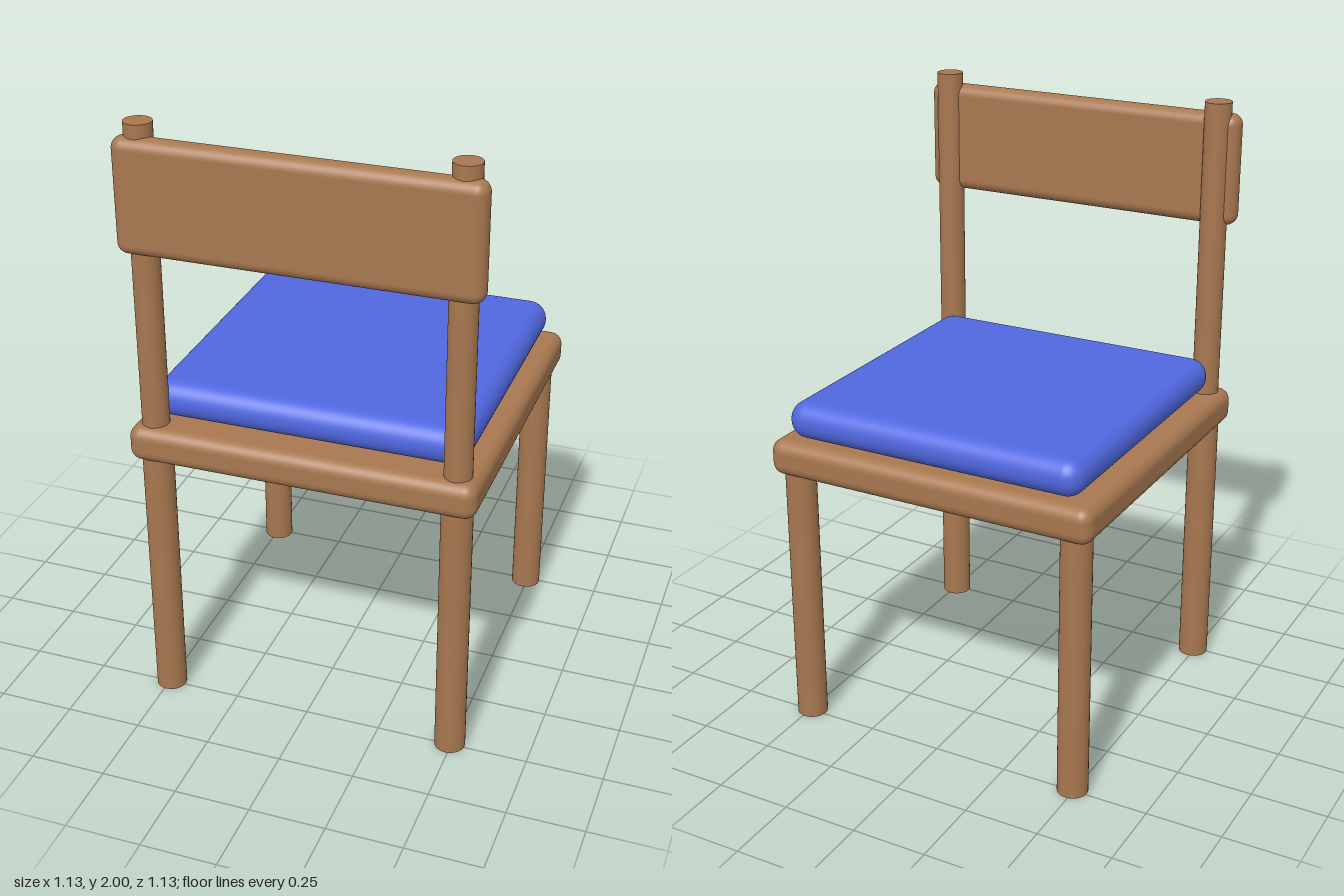
import * as THREE from 'three';
import { RoundedBoxGeometry } from 'three/addons/geometries/RoundedBoxGeometry.js';

export function createModel() {
  const chair = new THREE.Group();
  chair.name = 'chair';
  const wood = new THREE.MeshStandardMaterial({ color: 0xa87850 });
  const fabric = new THREE.MeshStandardMaterial({ color: 0x5068e0 });

  const add = (name, geometry, material, x, y, z) => {
    const mesh = new THREE.Mesh(geometry, material);
    mesh.name = name;
    mesh.position.set(x, y, z);
    chair.add(mesh);
  };
  // Rounded slab given by its size, edge radius and centre
  const slab = (name, material, [w, h, d], radius, [x, y, z]) =>
    add(name, new RoundedBoxGeometry(w, h, d, 6, radius), material, x, y, z);
  // Upright round bar between two heights
  const bar = (name, radius, y0, y1, x, z) =>
    add(name, new THREE.CylinderGeometry(radius, radius, y1 - y0, 32), wood, x, (y0 + y1) / 2, z);

  // Seat board and cushion
  slab('seat', wood, [1.13, 0.12, 1.13], 0.04, [0, 0.952, 0]);
  slab('cushion', fabric, [1.03, 0.124, 1.024], 0.06, [0, 1.077, -0.027]);

  // Legs, and posts that carry the backrest
  for (const [side, x] of [['left', 0.493], ['right', -0.493]]) {
    bar(side + 'FrontLeg', 0.05, 0, 0.93, x, -0.493);
    bar(side + 'BackLeg', 0.05, 0, 0.93, x, 0.493);
    bar(side + 'BackPost', 0.044, 0.95, 2, x, 0.493);
  }

  // Backrest panel
  slab('backrest', wood, [1.13, 0.365, 0.08], 0.036, [0, 1.777, 0.517]);

  return chair;
}
